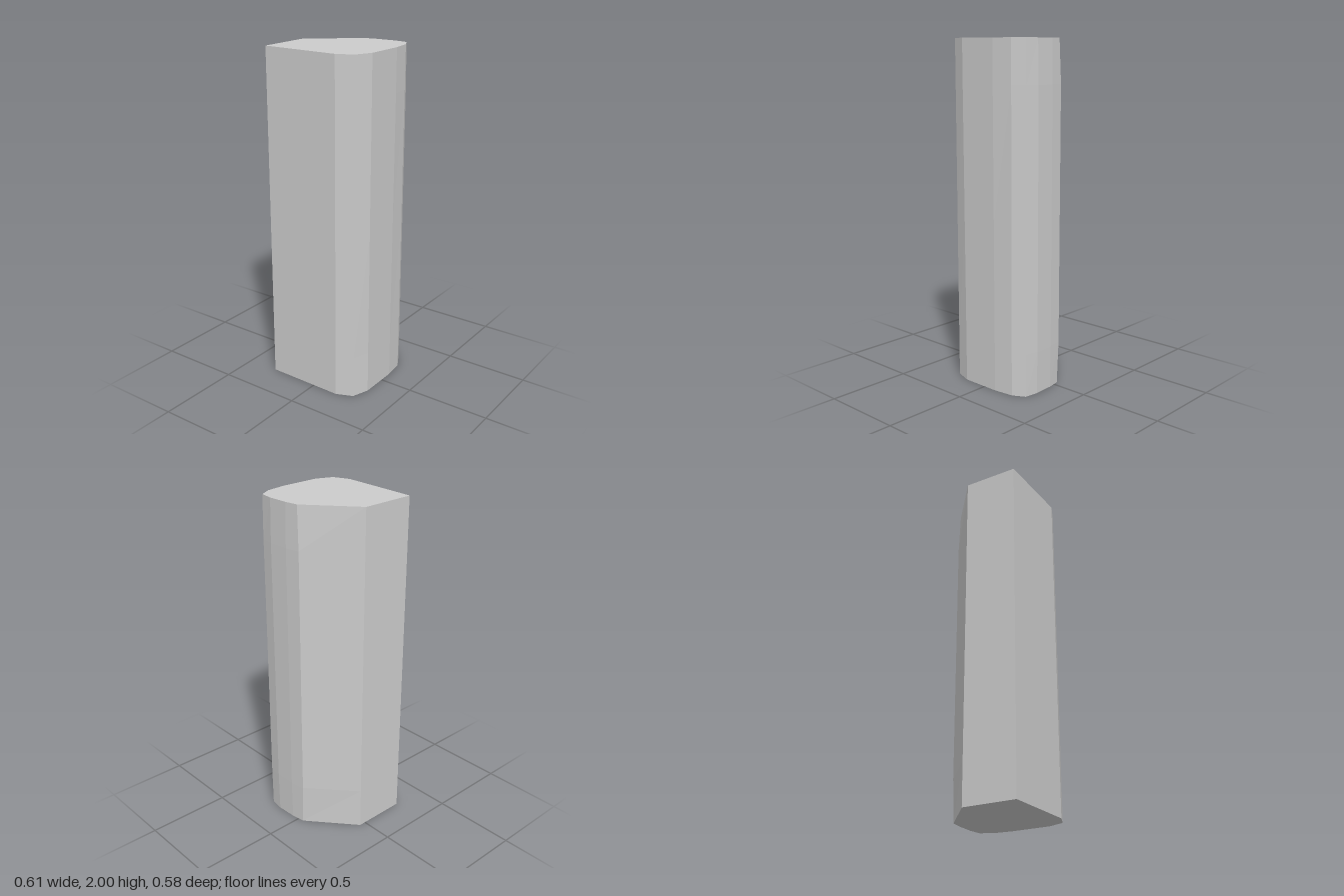
import * as THREE from 'three';

// Outline (x, z) shared by all levels, running left, back, right, front.
const outline = [
  [-0.305, -0.04], [-0.043, -0.274], [0.045, -0.288], [0.165, -0.293],
  [0.247, -0.279], [0.285, -0.205], [0.303, -0.085], [0.302, 0.15],
  [0.262, 0.25], [0.165, 0.291], [-0.305, 0.283],
];
// Small inward shift of the back corners where the ends taper.
const backShift = { 1: [0.011, 0.004], 2: [0, 0.005], 3: [0, 0.005], 4: [-0.002, 0.002] };

// One cross-section: height, taper of the back corners, and inset of the right wall.
function section(y, taper, inset) {
  return outline.map(([x, z], i) => {
    const [dx, dz] = backShift[i] ?? [0, 0];
    return [x + dx * taper - (x > 0.3 ? inset : 0), y, z + dz * taper];
  });
}

export function createModel() {
  const rings = [
    section(0, 0.8, 0.004), section(0.25, 0, 0.004), section(1, 0, 0.002),
    section(1.75, 0, 0), section(2, 1, 0),
  ];
  const n = outline.length;
  const positions = [];
  const triangle = (...corners) => corners.forEach((c) => positions.push(...c));

  // Side walls
  for (let k = 0; k < rings.length - 1; k++) {
    const low = rings[k], high = rings[k + 1];
    for (let i = 0; i < n; i++) {
      const j = (i + 1) % n;
      triangle(low[i], high[i], low[j]);
      triangle(high[i], high[j], low[j]);
    }
  }
  // End caps
  const bottom = rings[0], top = rings[rings.length - 1];
  for (let i = 0; i < n; i++) {
    const j = (i + 1) % n;
    triangle([0, 0, 0], bottom[i], bottom[j]);
    triangle([0, 2, 0], top[j], top[i]);
  }

  const geometry = new THREE.BufferGeometry();
  geometry.setAttribute('position', new THREE.Float32BufferAttribute(positions, 3));
  geometry.computeVertexNormals();
  const pillar = new THREE.Mesh(
    geometry,
    new THREE.MeshStandardMaterial({ color: 0xcccccc, flatShading: true }),
  );
  pillar.name = 'pillar';

  const model = new THREE.Group();
  model.name = 'facetedPillar';
  model.add(pillar);
  return model;
}
